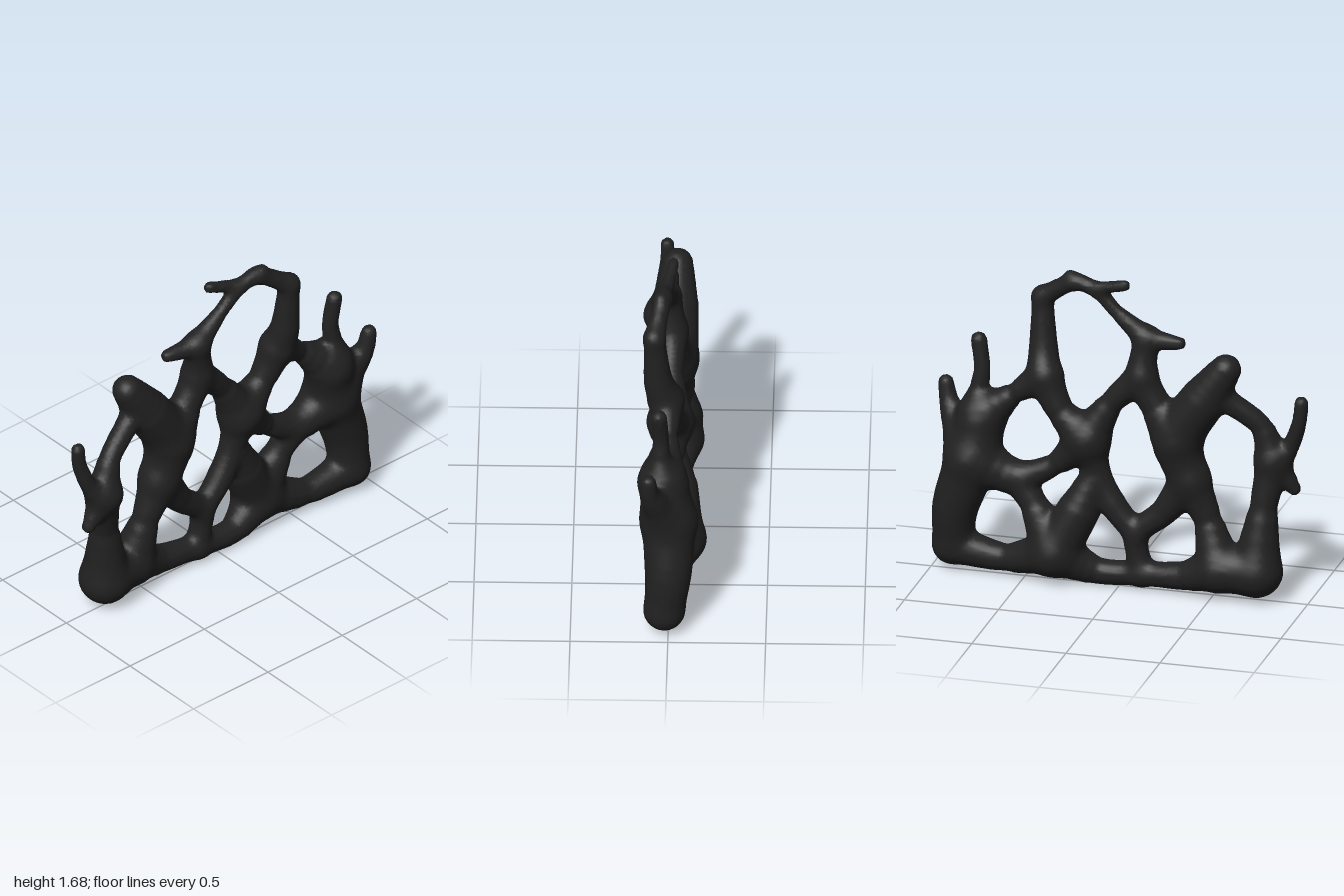
import * as THREE from 'three';

// Each point is x, y, radius and optional z
const J = {
  baseLeft: [-0.73, 0.16, 0.13, -0.01],
  baseLeftInner: [-0.54, 0.16, 0.12, -0.03],
  baseMiddle: [-0.12, 0.08, 0.06],
  baseRight: [0.33, 0.17, 0.12, -0.05],
  corner: [0.89, 0.13, 0.1, 0.02],
  fork: [-0.09, 0.29, 0.06],
  waist: [-0.375, 0.62, 0.1],
  trunk: [-0.31, 0.84, 0.13],
  leftNode: [-0.8, 0.75, 0.085, 0.06],
  knob: [-0.14, 1.36, 0.062, 0.02],
  armpit: [-0.12, 1.16, 0.08],
  heart: [0.17, 0.79, 0.11],
  stem: [0.12, 0.62, 0.06],
  bridge: [0.55, 0.54, 0.08],
  column: [0.78, 0.62, 0.14],
  shoulder: [0.74, 0.84, 0.12, 0.03],
  mast: [0.4, 1.1, 0.09, 0.02],
  crown: [0.25, 1.625, 0.042, 0.04],
};

const STRANDS = [
  // base bar
  [J.baseLeft, J.baseLeftInner, [-0.36, 0.1, 0.075, -0.02], J.baseMiddle],
  [J.baseMiddle, [0.12, 0.07, 0.068], J.baseRight],
  [J.baseRight, [0.6, 0.09, 0.068], J.corner],
  // left column and its finger and spur
  [J.baseLeft, [-0.76, 0.5, 0.07, 0.02], J.leftNode],
  [J.leftNode, [-0.89, 0.83, 0.045, 0.06], [-0.945, 0.98, 0.038, 0.04], [-0.955, 1.085, 0.036, 0.04]],
  [J.leftNode, [-0.91, 0.6, 0.035, 0.07]],
  [J.leftNode, [-0.74, 0.94, 0.055, 0.04], [-0.58, 1.07, 0.06]],
  // left trunk
  [[-0.57, 1.25, 0.08, -0.02], [-0.45, 1.07, 0.12, -0.01], J.trunk, J.waist],
  [J.waist, [-0.47, 0.41, 0.07], J.baseLeftInner],
  [J.waist, [-0.24, 0.43, 0.07], J.fork, J.baseMiddle],
  // middle arm splitting around the central opening
  [J.knob, J.armpit, [-0.2, 1, 0.08], J.trunk],
  [J.armpit, [0.04, 1.0, 0.06], J.heart],
  // lower centre
  [J.heart, J.stem, [0.04, 0.45, 0.07], J.fork],
  [J.stem, [0.21, 0.4, 0.11, -0.03], J.baseRight],
  [J.baseRight, [0.45, 0.41, 0.07, -0.02], J.bridge],
  [J.heart, [0.34, 0.63, 0.055], J.bridge, J.column],
  // right column and its two fingers
  [J.corner, [0.87, 0.35, 0.12], J.column, J.shoulder],
  [J.column, [0.86, 0.74, 0.085, 0.04], [0.93, 0.88, 0.05, 0.09], [0.95, 0.98, 0.04, 0.1]],
  [J.shoulder, [0.755, 0.98, 0.05, 0.04], [0.74, 1.1, 0.042, 0.04], [0.76, 1.25, 0.042, 0.05]],
  // mast with two legs
  [[0.43, 1.51, 0.052, 0.08], [0.42, 1.24, 0.075, 0.06], J.mast, [0.31, 0.92, 0.07], J.heart],
  [J.mast, [0.56, 0.99, 0.05, 0.01], J.shoulder],
  // crown arch and its twigs
  [J.knob, [0.02, 1.49, 0.036, 0.02], [0.12, 1.585, 0.038, 0.03], J.crown, [0.43, 1.51, 0.052, 0.08]],
  [J.knob, [-0.32, 1.36, 0.034]],
  [[0.12, 1.61, 0.032, 0.02], [-0.03, 1.65, 0.03, -0.01]],
  [J.crown, [0.275, 1.65, 0.03, 0.05]],
];

// Smooth a strand into short tapered segments
function segments(points) {
  const curve = new THREE.CatmullRomCurve3(points.map(([x, y, , z = 0]) => new THREE.Vector3(x, y, z)), false, 'catmullrom', 0.4);
  const spans = points.length - 1, count = spans * 4;
  const samples = [];
  for (let i = 0; i <= count; i++) {
    const s = (i / count) * spans, k = Math.min(Math.floor(s), spans - 1);
    samples.push({ p: curve.getPoint(i / count), r: THREE.MathUtils.lerp(points[k][2], points[k + 1][2], s - k) });
  }
  return samples;
}

function strandDistance(samples, x, y, z) {
  let best = Infinity;
  for (let i = 0; i < samples.length - 1; i++) {
    const { p: a, r: ra } = samples[i], { p: b, r: rb } = samples[i + 1];
    const ex = b.x - a.x, ey = b.y - a.y, ez = b.z - a.z;
    const dx = x - a.x, dy = y - a.y, dz = z - a.z;
    const t = Math.min(1, Math.max(0, (dx * ex + dy * ey + dz * ez) / (ex * ex + ey * ey + ez * ez)));
    const ux = dx - t * ex, uy = dy - t * ey, uz = dz - t * ez;
    best = Math.min(best, Math.sqrt(ux * ux + uy * uy + uz * uz) - ra - t * (rb - ra));
  }
  return best;
}

// Skin a sampled field with one vertex per boundary cell
function skin(field, n, origin, step) {
  const stride = [1, n[0], n[0] * n[1]];
  const cell = new Int32Array(field.length).fill(-1);
  const pos = [], index = [];
  const each = (fn) => {
    for (let k = 1; k < n[2] - 1; k++)
      for (let j = 1; j < n[1] - 1; j++)
        for (let i = 1; i < n[0] - 1; i++) fn([i, j, k], i + j * stride[1] + k * stride[2]);
  };
  each((c, id) => {
    const sum = [0, 0, 0];
    let hits = 0;
    for (let corner = 0; corner < 8; corner++) {
      const o = [corner & 1, (corner >> 1) & 1, corner >> 2];
      const p = id + o[0] + o[1] * stride[1] + o[2] * stride[2];
      for (let a = 0; a < 3; a++) {
        if (o[a]) continue;
        const f = field[p], g = field[p + stride[a]];
        if ((f < 0) === (g < 0)) continue;
        for (let b = 0; b < 3; b++) sum[b] += o[b] + (a === b ? f / (f - g) : 0);
        hits++;
      }
    }
    if (!hits) return;
    cell[id] = pos.length / 3;
    for (let b = 0; b < 3; b++) pos.push(origin[b] + step * (c[b] + sum[b] / hits));
  });
  each((c, id) => {
    for (let a = 0; a < 3; a++) {
      const inside = field[id] < 0;
      if (inside === field[id + stride[a]] < 0) continue;
      const b = stride[(a + 1) % 3], d = stride[(a + 2) % 3];
      const q = [cell[id], cell[id - b], cell[id - b - d], cell[id - d]];
      if (!inside) q.reverse();
      index.push(q[0], q[1], q[2], q[0], q[2], q[3]);
    }
  });
  const geo = new THREE.BufferGeometry();
  geo.setAttribute('position', new THREE.Float32BufferAttribute(pos, 3));
  geo.setIndex(index);
  geo.computeVertexNormals();
  return geo;
}

// Fuse all strands with soft fillets where they meet
function fanGeometry() {
  const strands = STRANDS.map(segments);
  const step = 0.018, blend = 0.012, origin = [-1.06, -0.06, -0.24], n = [119, 102, 28];
  const field = new Float32Array(n[0] * n[1] * n[2]);
  let id = 0;
  for (let k = 0; k < n[2]; k++)
    for (let j = 0; j < n[1]; j++)
      for (let i = 0; i < n[0]; i++) {
        let sum = 1e-30;
        for (const s of strands)
          sum += Math.exp(-strandDistance(s, origin[0] + i * step, origin[1] + j * step, origin[2] + k * step) / blend);
        field[id++] = -blend * Math.log(sum);
      }
  return skin(field, n, origin, step);
}

export function createModel() {
  const group = new THREE.Group();
  group.name = 'branchingCoralFan';
  const charcoal = new THREE.MeshStandardMaterial({ color: 0x212121 });
  charcoal.name = 'charcoal';
  const fan = new THREE.Mesh(fanGeometry(), charcoal);
  fan.name = 'fusedBranches';
  group.add(fan);
  return group;
}
